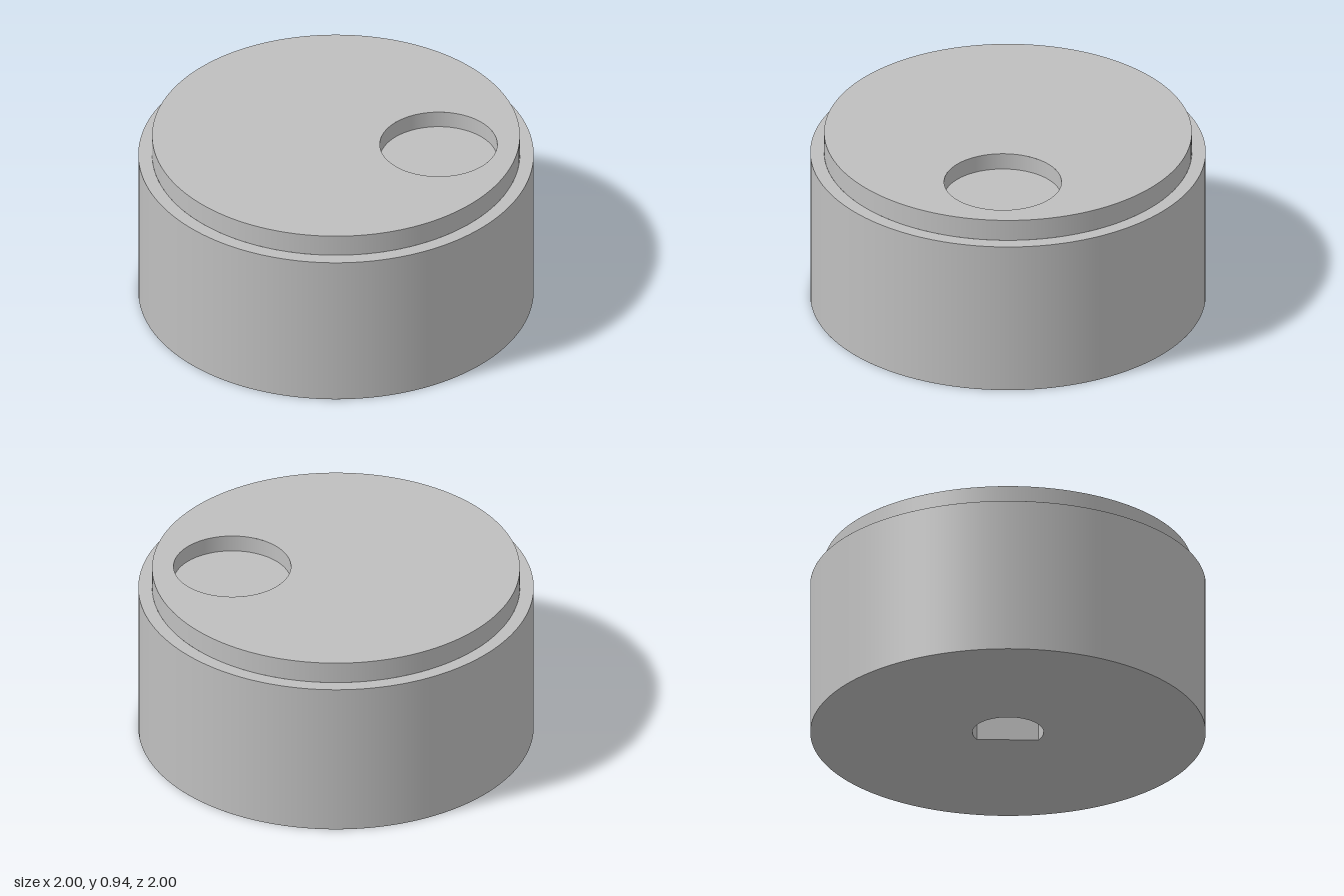
import * as THREE from 'three';

const SEG = 128;
const R = 1, RIM_R = 0.93;            // body and raised top radii
const STEP_Y = 0.825, TOP_Y = 0.94;   // shoulder and top heights
const DIMPLE = { x: 0.525, r: 0.297, y: 0.852 };
const SHAFT = { r: 0.18, flat: 0.089, depth: 0.6 };

export function createModel() {
  const group = new THREE.Group();
  const grey = new THREE.MeshStandardMaterial({ color: 0xbfbfbf, side: THREE.DoubleSide });
  grey.name = 'grey';

  const add = (name, geometry) => {
    const mesh = new THREE.Mesh(geometry, grey);
    mesh.name = name;
    group.add(mesh);
  };
  // Open round wall between two heights
  const wall = (name, r, y0, y1, x = 0, start = 0, sweep = Math.PI * 2) =>
    add(name, new THREE.CylinderGeometry(r, r, y1 - y0, SEG, 1, true, start, sweep)
      .translate(x, (y0 + y1) / 2, 0));
  // Flat horizontal face; shape (x, y) maps to world (x, z = -y), or z = y when facing down
  const face = (name, shape, y, down = false) =>
    add(name, new THREE.ShapeGeometry(shape, SEG)
      .rotateX(down ? Math.PI / 2 : -Math.PI / 2).translate(0, y, 0));
  const disc = (r, x = 0) => new THREE.Shape().absarc(x, 0, r, 0, Math.PI * 2);

  // D-shaped outline with its flat on the +x side
  const a = Math.acos(SHAFT.flat / SHAFT.r);
  const dShape = () => {
    const s = new THREE.Shape().absarc(0, 0, SHAFT.r, a, Math.PI * 2 - a);
    s.closePath();
    return s;
  };

  // Outer body and shoulder
  wall('bodyWall', R, 0, STEP_Y);
  const shoulder = disc(R);
  shoulder.holes.push(disc(RIM_R));
  face('shoulder', shoulder, STEP_Y);

  // Raised top with finger recess
  wall('topWall', RIM_R, STEP_Y, TOP_Y);
  const top = disc(RIM_R);
  top.holes.push(disc(DIMPLE.r, DIMPLE.x));
  face('topFace', top, TOP_Y);
  wall('fingerRecessWall', DIMPLE.r, DIMPLE.y, TOP_Y, DIMPLE.x);
  face('fingerRecessFloor', disc(DIMPLE.r, DIMPLE.x), DIMPLE.y);

  // Underside with shaft socket
  const base = disc(R);
  base.holes.push(dShape());
  face('underside', base, 0, true);
  wall('socketWall', SHAFT.r, 0, SHAFT.depth, 0, Math.PI / 2 + a, Math.PI * 2 - 2 * a);
  add('socketFlat', new THREE.PlaneGeometry(2 * SHAFT.r * Math.sin(a), SHAFT.depth)
    .rotateY(-Math.PI / 2).translate(SHAFT.flat, SHAFT.depth / 2, 0));
  face('socketEnd', dShape(), SHAFT.depth, true);

  return group;
}
